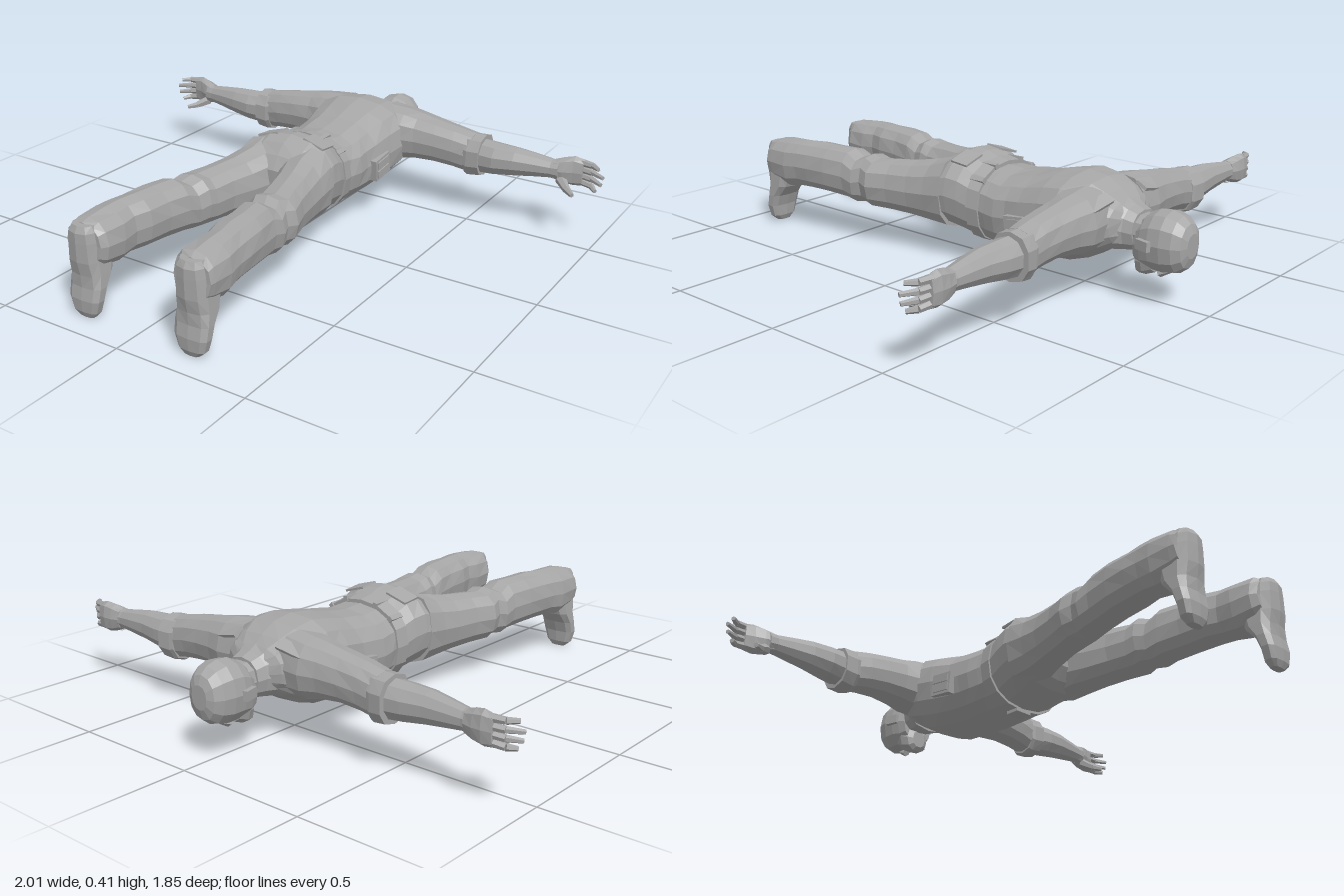
import * as THREE from 'three';

const grey = new THREE.MeshStandardMaterial({ color: 0xa6a6a6, flatShading: true });
grey.name = 'plain grey';

// Small seeded generator for cloth folds
let seed = 7;
const rand = () => ((seed = (seed * 16807) % 2147483647) / 2147483647);

// Skin through cross-sections. Each row is [t, u0, u1, v0, v1]: position on the axis, then extents.
// Axis z: u=x v=y. Axis x: u=y v=z. Axis y: u=z v=x.
function loft(axis, rows, { sides = 12, square = 0.85, fold = 0, caps = true } = {}) {
  const pos = [], idx = [], n = sides;
  const put = (t, u, v) => pos.push(...(axis === 'z' ? [u, v, t] : axis === 'x' ? [t, u, v] : [v, t, u]));
  const pw = (c) => Math.sign(c) * Math.pow(Math.abs(c), square);
  for (const [t, u0, u1, v0, v1] of rows) {
    for (let j = 0; j < n; j++) {
      const a = (j / n) * Math.PI * 2, k = 1 - fold * rand();
      put(t + fold * 0.15 * (rand() - 0.5),
        (u0 + u1) / 2 + pw(Math.cos(a)) * k * (u1 - u0) / 2,
        (v0 + v1) / 2 + pw(Math.sin(a)) * k * (v1 - v0) / 2);
    }
  }
  for (let i = 0; i < rows.length - 1; i++) {
    for (let j = 0; j < n; j++) {
      const a = i * n + j, b = i * n + (j + 1) % n;
      idx.push(a, b, a + n, b, b + n, a + n);
    }
  }
  if (caps) {
    const last = rows.length - 1;
    for (const r of [0, last]) {
      const [t, u0, u1, v0, v1] = rows[r];
      const c = pos.length / 3;
      put(t, (u0 + u1) / 2, (v0 + v1) / 2);
      for (let j = 0; j < n; j++) {
        const a = r * n + j, b = r * n + (j + 1) % n;
        r === 0 ? idx.push(c, b, a) : idx.push(c, a, b);
      }
    }
  }
  const g = new THREE.BufferGeometry();
  g.setAttribute('position', new THREE.Float32BufferAttribute(pos, 3));
  g.setIndex(idx);
  return g;
}

// Tapered rod between two points
function rod(a, b, r0, r1, sides = 6) {
  const A = new THREE.Vector3(...a), B = new THREE.Vector3(...b), d = B.clone().sub(A);
  const g = new THREE.CylinderGeometry(r1, r0, d.length(), sides);
  g.applyQuaternion(new THREE.Quaternion().setFromUnitVectors(new THREE.Vector3(0, 1, 0), d.normalize()));
  const m = A.add(B).multiplyScalar(0.5);
  return g.translate(m.x, m.y, m.z);
}

function block(size, at, rot = [0, 0, 0]) {
  const g = new THREE.BoxGeometry(...size);
  g.applyMatrix4(new THREE.Matrix4().makeRotationFromEuler(new THREE.Euler(...rot)));
  return g.translate(...at);
}

function mirrorX(geo) {
  const g = geo.clone().scale(-1, 1, 1), ix = g.index.array;
  for (let i = 0; i < ix.length; i += 3) [ix[i], ix[i + 1]] = [ix[i + 1], ix[i]];
  return g;
}

export function createModel() {
  const model = new THREE.Group();
  model.name = 'lyingMan';
  const add = (name, geo) => {
    const g = geo.toNonIndexed();
    g.computeVertexNormals();
    const mesh = new THREE.Mesh(g, grey);
    mesh.name = name;
    model.add(mesh);
  };
  const pair = (name, geo) => {
    add(name + 'Left', geo);
    add(name + 'Right', mirrorX(geo));
  };

  // Shirt, back upwards
  add('shirt', loft('z', [
    [-0.70, -0.075, 0.075, 0.20, 0.32], [-0.675, -0.13, 0.13, 0.19, 0.345],
    [-0.64, -0.18, 0.18, 0.165, 0.375], [-0.58, -0.21, 0.21, 0.125, 0.405],
    [-0.50, -0.215, 0.215, 0.097, 0.418], [-0.42, -0.205, 0.205, 0.085, 0.408],
    [-0.33, -0.19, 0.19, 0.082, 0.385], [-0.27, -0.185, 0.185, 0.082, 0.375],
    [-0.22, -0.187, 0.187, 0.082, 0.368], [-0.17, -0.178, 0.178, 0.085, 0.372],
    [-0.13, -0.172, 0.172, 0.09, 0.372],
  ], { sides: 16, fold: 0.035 }));
  add('belt', loft('z', [
    [-0.145, -0.178, 0.178, 0.083, 0.383], [-0.095, -0.184, 0.184, 0.083, 0.392],
  ], { sides: 16 }));
  add('beltBuckle', block([0.07, 0.015, 0.055], [0, 0.083, -0.12]));
  for (const x of [0.07, 0.14]) pair('beltLoop', block([0.018, 0.02, 0.06], [x, x < 0.1 ? 0.374 : 0.335, -0.12], [0, 0, x < 0.1 ? -0.2 : -0.8]));

  // Trousers
  add('seat', loft('z', [
    [-0.10, -0.178, 0.178, 0.09, 0.385], [-0.05, -0.19, 0.19, 0.10, 0.41],
    [0.0, -0.20, 0.20, 0.112, 0.415], [0.05, -0.204, 0.204, 0.122, 0.395],
    [0.09, -0.19, 0.19, 0.15, 0.36], [0.12, -0.13, 0.13, 0.20, 0.31],
  ], { sides: 16, fold: 0.02 }));
  pair('trouserLeg', loft('z', [
    [0.02, 0.01, 0.203, 0.122, 0.395], [0.10, 0.006, 0.207, 0.13, 0.372],
    [0.18, 0.035, 0.218, 0.138, 0.355], [0.27, 0.06, 0.235, 0.147, 0.348],
    [0.35, 0.072, 0.262, 0.15, 0.342], [0.39, 0.075, 0.25, 0.155, 0.354],
    [0.43, 0.09, 0.265, 0.155, 0.338], [0.48, 0.095, 0.262, 0.162, 0.362],
    [0.57, 0.11, 0.278, 0.168, 0.365], [0.66, 0.115, 0.288, 0.17, 0.365],
    [0.72, 0.135, 0.292, 0.17, 0.362], [0.78, 0.128, 0.302, 0.162, 0.36],
    [0.86, 0.135, 0.30, 0.175, 0.355], [0.885, 0.148, 0.297, 0.19, 0.34],
  ], { fold: 0.04 }));
  pair('rearPocket', block([0.09, 0.008, 0.075], [0.10, 0.392, -0.03], [-0.1, 0, -0.3]));

  // Boots, toes pointing down
  pair('boot', loft('y', [
    [0.003, 0.873, 0.905, 0.19, 0.25], [0.025, 0.862, 0.915, 0.17, 0.276],
    [0.07, 0.858, 0.918, 0.156, 0.289], [0.115, 0.842, 0.91, 0.153, 0.29],
    [0.16, 0.80, 0.912, 0.157, 0.287], [0.21, 0.78, 0.922, 0.162, 0.284],
    [0.28, 0.78, 0.923, 0.165, 0.28], [0.315, 0.79, 0.922, 0.17, 0.275],
    [0.337, 0.82, 0.91, 0.18, 0.265],
  ], { sides: 10, square: 0.7 }));

  // Sleeves, cuffs and forearms
  pair('sleeve', loft('x', [
    [0.10, 0.17, 0.395, -0.675, -0.46], [0.19, 0.175, 0.385, -0.68, -0.475],
    [0.25, 0.185, 0.375, -0.665, -0.488], [0.33, 0.19, 0.362, -0.655, -0.496],
    [0.41, 0.185, 0.35, -0.65, -0.505], [0.48, 0.172, 0.336, -0.648, -0.515],
  ], { fold: 0.04 }));
  pair('sleeveCuff', loft('x', [
    [0.46, 0.17, 0.335, -0.65, -0.512], [0.475, 0.163, 0.335, -0.655, -0.508],
    [0.525, 0.17, 0.335, -0.662, -0.508],
  ], { sides: 10 }));
  pair('forearm', loft('x', [
    [0.50, 0.18, 0.322, -0.645, -0.518], [0.58, 0.188, 0.318, -0.64, -0.512],
    [0.66, 0.20, 0.315, -0.63, -0.523], [0.74, 0.212, 0.305, -0.626, -0.54],
    [0.80, 0.22, 0.296, -0.622, -0.552], [0.83, 0.215, 0.30, -0.625, -0.555],
  ], { sides: 10, square: 1 }));

  // Hands with curled fingers
  pair('palm', loft('x', [
    [0.81, 0.218, 0.298, -0.624, -0.556], [0.845, 0.205, 0.31, -0.632, -0.565],
    [0.88, 0.20, 0.318, -0.635, -0.58], [0.915, 0.205, 0.31, -0.628, -0.59],
  ], { sides: 8 }));
  [[0.222, 0.208, 0.975], [0.247, 0.237, 0.995], [0.271, 0.266, 1.0], [0.297, 0.295, 0.98]].forEach(([y0, y1, tip]) => {
    const knuckle = [0.95, (y0 + y1) / 2, -0.602];
    pair('fingerBase', rod([0.90, y0, -0.611], knuckle, 0.0145, 0.012));
    pair('fingerTip', rod(knuckle, [tip, y1, -0.575], 0.012, 0.008));
  });
  pair('thumbBase', rod([0.835, 0.225, -0.585], [0.875, 0.203, -0.548], 0.022, 0.015));
  pair('thumbTip', rod([0.875, 0.203, -0.548], [0.908, 0.195, -0.52], 0.015, 0.009));

  // Neck, collar and shoulder straps
  add('neck', loft('z', [
    [-0.78, -0.068, 0.068, 0.175, 0.305], [-0.72, -0.068, 0.068, 0.185, 0.305],
    [-0.66, -0.085, 0.085, 0.19, 0.33],
  ], { sides: 10 }));
  add('collar', loft('z', [
    [-0.735, -0.075, 0.075, 0.175, 0.315], [-0.70, -0.085, 0.085, 0.17, 0.328],
    [-0.66, -0.115, 0.115, 0.165, 0.352],
  ], { sides: 12 }));
  pair('shoulderStrap', block([0.10, 0.012, 0.045], [0.145, 0.352, -0.65], [-0.5, 0, -0.25]));

  // Head, face downwards, crown at the far end
  add('head', loft('z', [
    [-0.924, -0.035, 0.035, 0.185, 0.27], [-0.912, -0.06, 0.06, 0.148, 0.302],
    [-0.885, -0.08, 0.08, 0.127, 0.325], [-0.845, -0.09, 0.09, 0.118, 0.336],
    [-0.80, -0.09, 0.09, 0.12, 0.332], [-0.765, -0.082, 0.082, 0.118, 0.315],
    [-0.735, -0.07, 0.07, 0.135, 0.285],
  ], { sides: 12, square: 0.9 }));
  add('jaw', loft('z', [
    [-0.80, -0.06, 0.06, 0.112, 0.22], [-0.765, -0.065, 0.065, 0.098, 0.21],
    [-0.735, -0.05, 0.05, 0.095, 0.20], [-0.722, -0.03, 0.03, 0.11, 0.18],
  ], { sides: 10 }));
  add('nose', rod([0, 0.125, -0.85], [0, 0.108, -0.803], 0.006, 0.016, 5));
  pair('ear', block([0.018, 0.035, 0.055], [0.092, 0.225, -0.79], [0, -0.25, 0]));

  // Side pouches above the belt
  pair('pouch', block([0.03, 0.085, 0.105], [0.188, 0.213, -0.345], [0.12, 0, 0]));
  for (const y of [0.195, 0.232]) pair('pouchFlap', block([0.012, 0.028, 0.085], [0.202, y, -0.345], [0.12, 0, 0]));

  return model;
}
